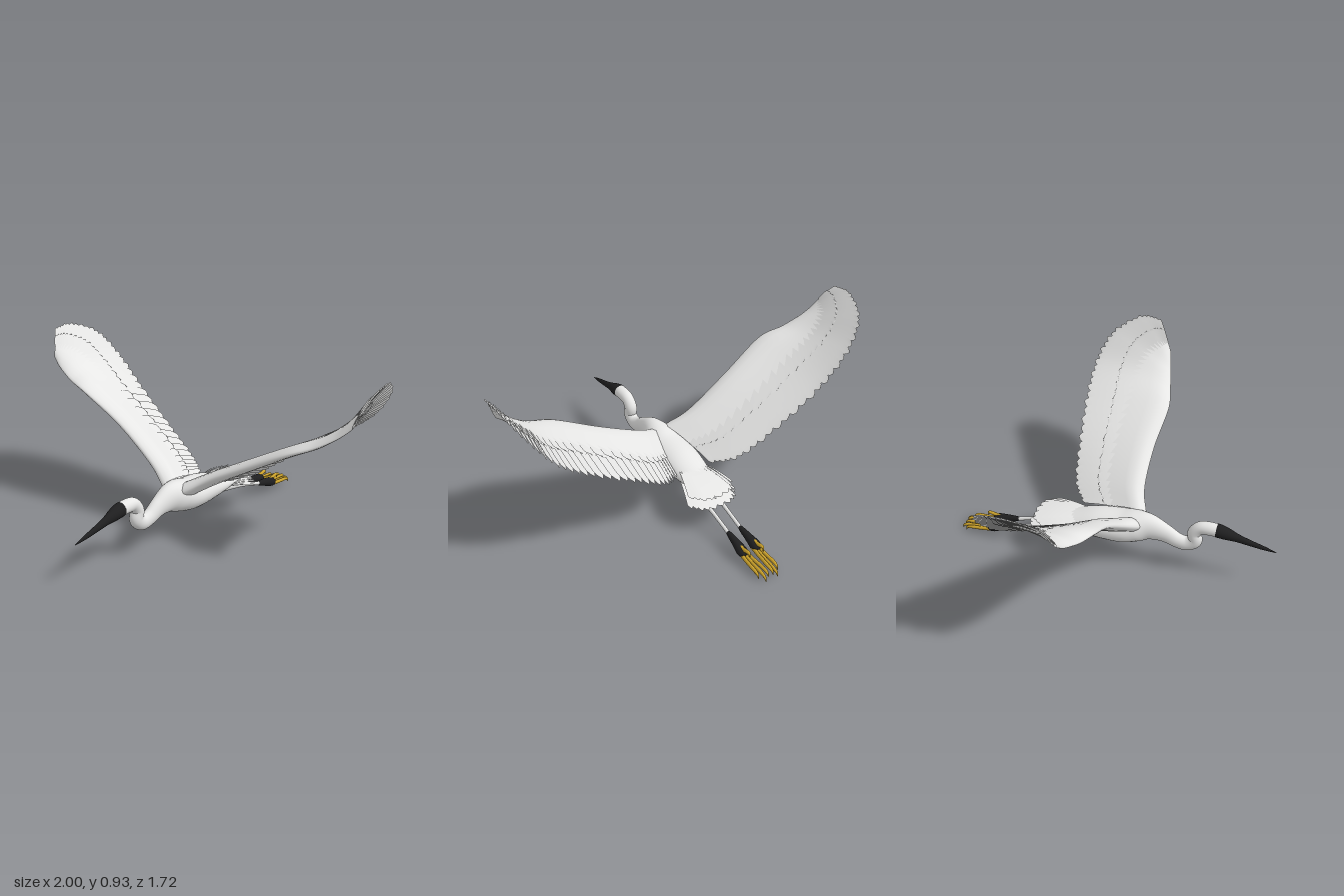
import * as THREE from 'three';
import { mergeGeometries } from 'three/addons/utils/BufferGeometryUtils.js';

const V = (x, y, z) => new THREE.Vector3(x, y, z);
const spline = pts => new THREE.CatmullRomCurve3(pts.map(p => V(...p)), false, 'catmullrom', 0.5);

// Surface through rows of points; optionally wrapped around, optionally reversed
function grid(rows, wrap = false, flip = false) {
  const n = rows[0].length, pos = [], idx = [];
  rows.forEach(r => r.forEach(p => pos.push(p.x, p.y, p.z)));
  for (let i = 0; i < rows.length - 1; i++) {
    for (let j = 0; j < (wrap ? n : n - 1); j++) {
      const k = (j + 1) % n;
      const a = i * n + j, b = i * n + k, c = a + n, d = b + n;
      if (flip) idx.push(a, c, b, b, c, d);
      else idx.push(a, b, c, b, d, c);
    }
  }
  const g = new THREE.BufferGeometry();
  g.setAttribute('position', new THREE.Float32BufferAttribute(pos, 3));
  g.setIndex(idx);
  g.computeVertexNormals();
  return g;
}

// Elliptical loft through stations [x, y, z, halfWidth, halfHeight]
function loft(stations, steps, sides) {
  const path = spline(stations.map(s => s.slice(0, 3)));
  const size = spline(stations.map(s => [s[3], s[4], 0]));
  const rows = [];
  for (let i = 0; i <= steps; i++) {
    const c = path.getPoint(i / steps), r = size.getPoint(i / steps);
    const T = path.getTangent(i / steps);
    const side = V(1, 0, 0).addScaledVector(T, -T.x).normalize();
    const up = T.clone().cross(side);
    rows.push(Array.from({ length: sides }, (_, j) => {
      const a = j / sides * Math.PI * 2;
      return c.clone()
        .addScaledVector(side, Math.max(r.x, 0.0004) * Math.cos(a))
        .addScaledVector(up, Math.max(r.y, 0.0004) * Math.sin(a));
    }));
  }
  return grid(rows, true);
}

// Arched surface ruled between a base curve and a tip curve; returns f(u, t, lift)
function ruled(base, tips, camber) {
  const B = spline(base), E = spline(tips);
  const at = (u, t) => {
    const p = B.getPoint(u).lerp(E.getPoint(u), t);
    p.y += camber * Math.sin(Math.PI * t);
    return p;
  };
  return (u, t, lift = 0) => {
    u = THREE.MathUtils.clamp(u, 0, 1);
    const e = 0.004, u0 = Math.max(u - e, 0), u1 = Math.min(u + e, 1);
    const n = at(u1, t).sub(at(u0, t)).cross(at(u, t + e).sub(at(u, t - e))).normalize();
    return at(u, t).addScaledVector(n, lift);
  };
}

// Row of overlapping round-ended feathers lying on a ruled surface
function feathers(surf, count, t0, t1, lift, mirror = 1) {
  const blades = [];
  for (let k = 0; k < count; k++) {
    const u0 = (k + 0.5) / count, half = 0.68 / count;
    const end = t1 * (1 - 0.012 * (k % 2)), rows = [];
    for (const q of [0, 0.2, 0.4, 0.6, 0.75, 0.86, 0.91, 0.95, 0.98, 1]) {
      const w = half * (q > 0.86 ? Math.sqrt(Math.max(1 - ((q - 0.86) / 0.14) ** 2, 0.01)) : 1);
      rows.push([-1, -0.5, 0, 0.5, 1].map(v => {
        const p = surf(u0 + v * w, t0 + (end - t0) * q, lift + 0.003 * v);
        p.x *= mirror;
        return p;
      }));
    }
    blades.push(grid(rows, false, mirror < 0));
  }
  return mergeGeometries(blades);
}

// Thick arm of the wing, tapering backwards into the feathers
function wingArm(surf, mirror) {
  const ts = [0.62, 0.5, 0.38, 0.26, 0.16, 0.08, 0.03, 0.008], rows = [];
  for (let i = 0; i <= 56; i++) {
    const u = i / 56, h = 0.036 * (1 - u) + 0.008;
    const thick = t => h * Math.min(1, Math.sqrt(t / 0.13)) * Math.min(1, ((0.64 - t) / 0.5) ** 1.3);
    const ring = [
      ...ts.map(t => surf(u, t, thick(t))),
      surf(u, 0, 0),
      ...ts.slice().reverse().map(t => surf(u, t, -thick(t) * 0.8)),
    ];
    ring.forEach(p => { p.x *= mirror; });
    rows.push(ring);
  }
  return grid(rows, true, mirror < 0);
}

export function createModel() {
  const model = new THREE.Group();
  model.name = 'flyingEgret';
  const mat = (name, color) => {
    const m = new THREE.MeshStandardMaterial({ color, side: THREE.DoubleSide });
    m.name = name;
    return m;
  };
  const white = mat('whitePlumage', 0xe6e6e5);
  const black = mat('blackSkin', 0x1f1f20);
  const yellow = mat('yellowToes', 0xcfa52c);
  const add = (name, geo, m, parent = model) => {
    const mesh = new THREE.Mesh(geo, m);
    mesh.name = name;
    parent.add(mesh);
  };

  // Body, folded neck and back of the head in one smooth loft
  add('bodyAndNeck', loft([
    [0, 0.185, -0.40, 0.001, 0.001], [0, 0.193, -0.32, 0.06, 0.02],
    [0, 0.205, -0.20, 0.088, 0.045], [0, 0.215, -0.08, 0.102, 0.07],
    [0, 0.22, 0.05, 0.105, 0.08], [0, 0.235, 0.13, 0.088, 0.082],
    [0, 0.242, 0.20, 0.058, 0.073], [0, 0.222, 0.28, 0.04, 0.052],
    [0, 0.192, 0.345, 0.034, 0.042], [0, 0.183, 0.40, 0.033, 0.04],
    [0, 0.212, 0.442, 0.033, 0.038], [0, 0.258, 0.435, 0.033, 0.035],
    [0, 0.297, 0.465, 0.033, 0.034], [0, 0.304, 0.51, 0.035, 0.035],
    [0, 0.302, 0.56, 0.034, 0.034],
  ], 110, 28), white);

  // Dark face running into the long pointed bill
  add('faceAndBill', loft([
    [0, 0.303, 0.545, 0.03, 0.03], [0, 0.302, 0.555, 0.0355, 0.0355],
    [0, 0.292, 0.60, 0.031, 0.032], [0, 0.277, 0.66, 0.018, 0.022],
    [0, 0.260, 0.73, 0.012, 0.016], [0, 0.245, 0.80, 0.008, 0.01],
    [0, 0.232, 0.86, 0.001, 0.001],
  ], 40, 20), black);

  // Wings: shared plan, heights differ a little between the two sides
  const baseXZ = [[0.05, 0.17], [0.18, 0.12], [0.4, 0.108], [0.62, 0.125],
    [0.75, 0.10], [0.83, 0.08], [0.88, 0.065], [0.92, 0.05]];
  const tipXZ = [[0.1, -0.2], [0.22, -0.285], [0.42, -0.33], [0.65, -0.365],
    [0.82, -0.365], [0.93, -0.30], [0.99, -0.15], [0.995, -0.03]];
  const heights = {
    left: [[0.27, 0.35, 0.465, 0.58, 0.635, 0.68, 0.715, 0.75],
      [0.235, 0.285, 0.42, 0.57, 0.70, 0.84, 0.935, 0.925]],
    right: [[0.27, 0.36, 0.52, 0.655, 0.695, 0.73, 0.755, 0.785],
      [0.235, 0.275, 0.405, 0.58, 0.75, 0.88, 0.94, 0.93]],
  };
  for (const [name, m] of [['left', 1], ['right', -1]]) {
    const place = (xz, ys) => xz.map(([x, z], i) => [x, ys[i], z]);
    const surf = ruled(place(baseXZ, heights[name][0]), place(tipXZ, heights[name][1]), 0.018);
    const wing = new THREE.Group();
    wing.name = name + 'Wing';
    model.add(wing);
    add('wingArm', wingArm(surf, m), white, wing);
    add('flightFeathers', feathers(surf, 36, 0.12, 1, 0, m), white, wing);
    add('upperCoverts', feathers(surf, 30, 0.3, 0.66, 0.006, m), white, wing);
    add('lowerCoverts', feathers(surf, 30, 0.3, 0.6, -0.006, m), white, wing);
  }

  // Tail: a lower fan and a slightly raised fan of coverts above it
  const tail = (y0, y1, s) => ruled(
    [[-0.07, y0, -0.16], [-0.03, y0 + 0.01, -0.15], [0.03, y0 + 0.01, -0.15], [0.07, y0, -0.16]],
    [[-0.145 * s, y1, -0.36], [-0.075 * s, y1 + 0.006, -0.44],
      [0.075 * s, y1 + 0.006, -0.44], [0.145 * s, y1, -0.36]], 0.008);
  add('tailFan', feathers(tail(0.195, 0.165, 1), 11, 0, 1, 0), white);
  add('tailCoverts', feathers(tail(0.235, 0.205, 0.95), 9, 0, 0.93, 0), white);

  // Trailing legs and feet
  for (const [name, m] of [['left', 1], ['right', -1]]) {
    const leg = new THREE.Group();
    leg.name = name + 'Leg';
    model.add(leg);
    add('shank', loft([
      [m * 0.04, 0.185, -0.18, 0.025, 0.025], [m * 0.04, 0.157, -0.30, 0.014, 0.016],
      [m * 0.037, 0.125, -0.43, 0.0095, 0.011], [m * 0.036, 0.087, -0.57, 0.0095, 0.011],
    ], 16, 12), white, leg);
    add('ankle', loft([
      [m * 0.037, 0.098, -0.53, 0.002, 0.002], [m * 0.036, 0.09, -0.56, 0.012, 0.014],
      [m * 0.038, 0.078, -0.62, 0.02, 0.022], [m * 0.04, 0.066, -0.67, 0.027, 0.026],
      [m * 0.04, 0.061, -0.695, 0.02, 0.018], [m * 0.04, 0.058, -0.705, 0.001, 0.001],
    ], 24, 14), black, leg);
    // Three long toes with curled claws and a short raised hind toe
    const toes = [[0.014, 0.045, -0.85], [0.034, 0.033, -0.86], [0.056, 0.04, -0.83], [0.04, 0.093, -0.735]];
    toes.forEach(([x, y, z], i) => {
      const mid = (a, b, f) => a + (b - a) * f;
      const sx = 0.04 + (x - 0.04) * 0.55, sy = i === 3 ? 0.082 : 0.058, sz = -0.66;
      add('toe' + (i + 1), loft([
        [m * sx, sy, sz, 0.01, 0.012],
        [m * mid(sx, x, 0.6), mid(sy, y, 0.4), mid(sz, z, 0.4), 0.0085, 0.011],
        [m * x, mid(sy, y, 0.75) + 0.003, mid(sz, z, 0.78), 0.0085, 0.01],
        [m * x, y, mid(sz, z, 0.95), 0.006, 0.007],
        [m * x, y - 0.02, z, 0.001, 0.001],
      ], 16, 9), yellow, leg);
    });
  }
  return model;
}
